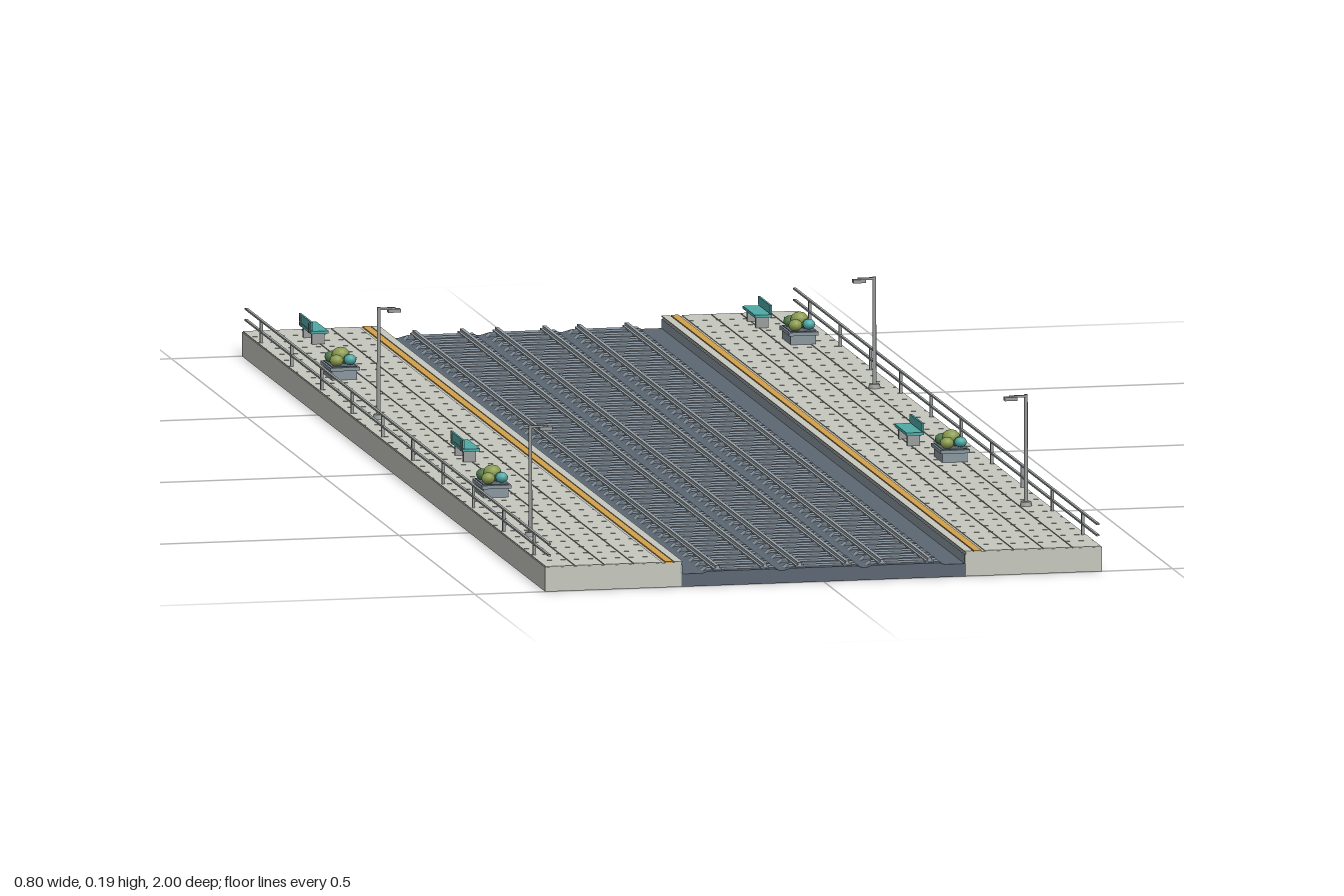
import * as THREE from 'three';
import { mergeGeometries } from 'three/addons/utils/BufferGeometryUtils.js';

const mat = (name, color) => {
  const m = new THREE.MeshStandardMaterial({ color });
  m.name = name;
  return m;
};

export function createModel() {
  const M = {
    paving: mat('pale paving', 0xc6c8bf),
    coping: mat('blue grey coping', 0x8a979f),
    bed: mat('dark track bed', 0x5c6772),
    sleeper: mat('grey sleeper', 0x8995a0),
    rail: mat('rail steel', 0x9aa3a9),
    line: mat('ochre line', 0xd2a04c),
    metal: mat('painted metal', 0x9a9e9c),
    teal: mat('teal', 0x4faaa6),
    olive: mat('olive leaf', 0x8c9c50),
    green: mat('deep green leaf', 0x4f7a4c),
  };
  const root = new THREE.Group();
  root.name = 'railwayPlatforms';

  // box spanned by centre x, bottom y, centre z
  const box = (w, h, d, x, y, z) => new THREE.BoxGeometry(w, h, d).translate(x, y + h / 2, z);
  const add = (parent, name, parts, material) => {
    const mesh = new THREE.Mesh(mergeGeometries(parts), material);
    mesh.name = name;
    parent.add(mesh);
    return mesh;
  };
  const group = (name) => {
    const g = new THREE.Group();
    g.name = name;
    root.add(g);
    return g;
  };

  // sunken bed with three tracks
  add(root, 'trackBed', [box(0.408, 0.018, 2, 0, 0, 0)], M.bed);
  for (const x of [-0.118, 0, 0.118]) {
    const track = group('track');
    track.position.x = x;

    // low ballast ridge
    const ridge = new THREE.Shape([
      new THREE.Vector2(-0.057, 0.0175), new THREE.Vector2(0.057, 0.0175),
      new THREE.Vector2(0.048, 0.0205), new THREE.Vector2(-0.048, 0.0205),
    ]);
    const ballast = new THREE.ExtrudeGeometry(ridge, { depth: 2, bevelEnabled: false });
    add(track, 'ballast', [ballast.translate(0, 0, -1)], M.bed);

    // tapered sleepers
    const sleepers = [];
    for (let i = 0; i < 50; i++) {
      const s = new THREE.Shape([
        new THREE.Vector2(-0.053, 0.019), new THREE.Vector2(0.053, 0.019),
        new THREE.Vector2(0.047, 0.0235), new THREE.Vector2(-0.047, 0.0235),
      ]);
      const g = new THREE.ExtrudeGeometry(s, { depth: 0.016, bevelEnabled: false });
      sleepers.push(g.translate(0, 0, -0.988 + i * 0.04));
    }
    add(track, 'sleepers', sleepers, M.sleeper);

    // rails with foot and head
    const rails = [];
    for (const s of [-1, 1]) {
      rails.push(box(0.012, 0.0025, 2, s * 0.034, 0.022, 0));
      rails.push(box(0.005, 0.0045, 2, s * 0.034, 0.0235, 0));
    }
    add(track, 'rails', rails, M.rail);
  }

  const bench = (side, z) => {
    const g = group('bench');
    g.position.set(side * 0.318, 0.036, z);
    add(g, 'benchSeat', [
      box(0.025, 0.004, 0.08, 0, 0.016, 0),
      box(0.003, 0.012, 0.08, side * 0.011, 0.021, 0),
    ], M.teal);
    const legs = [];
    for (const s of [-1, 1]) {
      legs.push(box(0.018, 0.016, 0.006, 0, 0, s * 0.028));
      legs.push(box(0.002, 0.014, 0.004, side * 0.0125, 0.016, s * 0.028));
    }
    add(g, 'benchLegs', legs, M.metal);
  };

  const ball = (r, x, y, z) => new THREE.IcosahedronGeometry(r, 1).scale(1, 0.85, 1).translate(x, y, z);
  const planter = (side, z) => {
    const g = group('planter');
    g.position.set(side * 0.345, 0.036, z);
    add(g, 'planterBox', [
      box(0.036, 0.016, 0.056, 0, 0, 0),
      box(0.042, 0.005, 0.064, 0, 0.013, 0),
    ], M.coping);
    add(g, 'planterSoil', [box(0.036, 0.001, 0.058, 0, 0.018, 0)], M.bed);
    add(g, 'oliveShrubs', [
      ball(0.013, 0.001, 0.031, -0.002),
      ball(0.01, -0.009, 0.026, 0.017),
      ball(0.009, 0.008, 0.026, -0.02),
    ], M.olive);
    add(g, 'greenShrubs', [
      ball(0.01, -0.009, 0.026, -0.017),
      ball(0.009, 0.008, 0.026, 0.004),
    ], M.green);
    add(g, 'tealShrub', [ball(0.009, 0.01, 0.027, 0.019)], M.teal);
  };

  const lamp = (side, z) => {
    const g = group('lampPost');
    g.position.set(side * 0.366, 0.036, z);
    add(g, 'lampPole', [
      new THREE.CylinderGeometry(0.0075, 0.009, 0.006, 8).translate(0, 0.003, 0),
      new THREE.CylinderGeometry(0.0025, 0.003, 0.156, 8).translate(0, 0.08, 0),
      box(0.026, 0.003, 0.004, -side * 0.011, 0.154, 0),
    ], M.metal);
    add(g, 'lampHead', [box(0.018, 0.005, 0.009, -side * 0.022, 0.15, 0)], M.metal);
  };

  for (const side of [-1, 1]) {
    // platform slab with paving slabs on top
    const platform = group('platform');
    add(platform, 'platformSlab', [box(0.195, 0.0345, 2, side * 0.3015, 0, 0)], M.paving);
    const tiles = [];
    for (let i = 0; i < 40; i++) {
      for (let j = 0; j < 4; j++) {
        tiles.push(box(0.0405, 0.0012, 0.0485, side * (0.2515 + j * 0.042), 0.0345, -0.975 + i * 0.05));
      }
    }
    add(platform, 'pavingSlabs', tiles, M.paving);
    add(platform, 'platformFace', [box(0.003, 0.013, 2, side * 0.2035, 0.018, 0)], M.coping);
    add(platform, 'platformEdge', [box(0.012, 0.0015, 2, side * 0.208, 0.0345, 0)], M.paving);
    add(platform, 'warningLine', [box(0.011, 0.0018, 2, side * 0.221, 0.0345, 0)], M.line);

    // fence along the outer edge
    const fence = [];
    for (let i = 0; i < 10; i++) fence.push(box(0.004, 0.034, 0.004, side * 0.393, 0.0345, -0.9 + i * 0.2));
    for (const y of [0.05, 0.066]) fence.push(box(0.004, 0.0025, 2, side * 0.393, y, 0));
    add(platform, 'fence', fence, M.metal);

    // furniture repeats once per half of the platform
    for (const z of [-1, 0]) {
      bench(side, z + 0.1);
      planter(side, z + (side < 0 ? 0.4 : 0.25));
      lamp(side, z + (side < 0 ? 0.75 : 0.65));
    }
  }
  return root;
}
